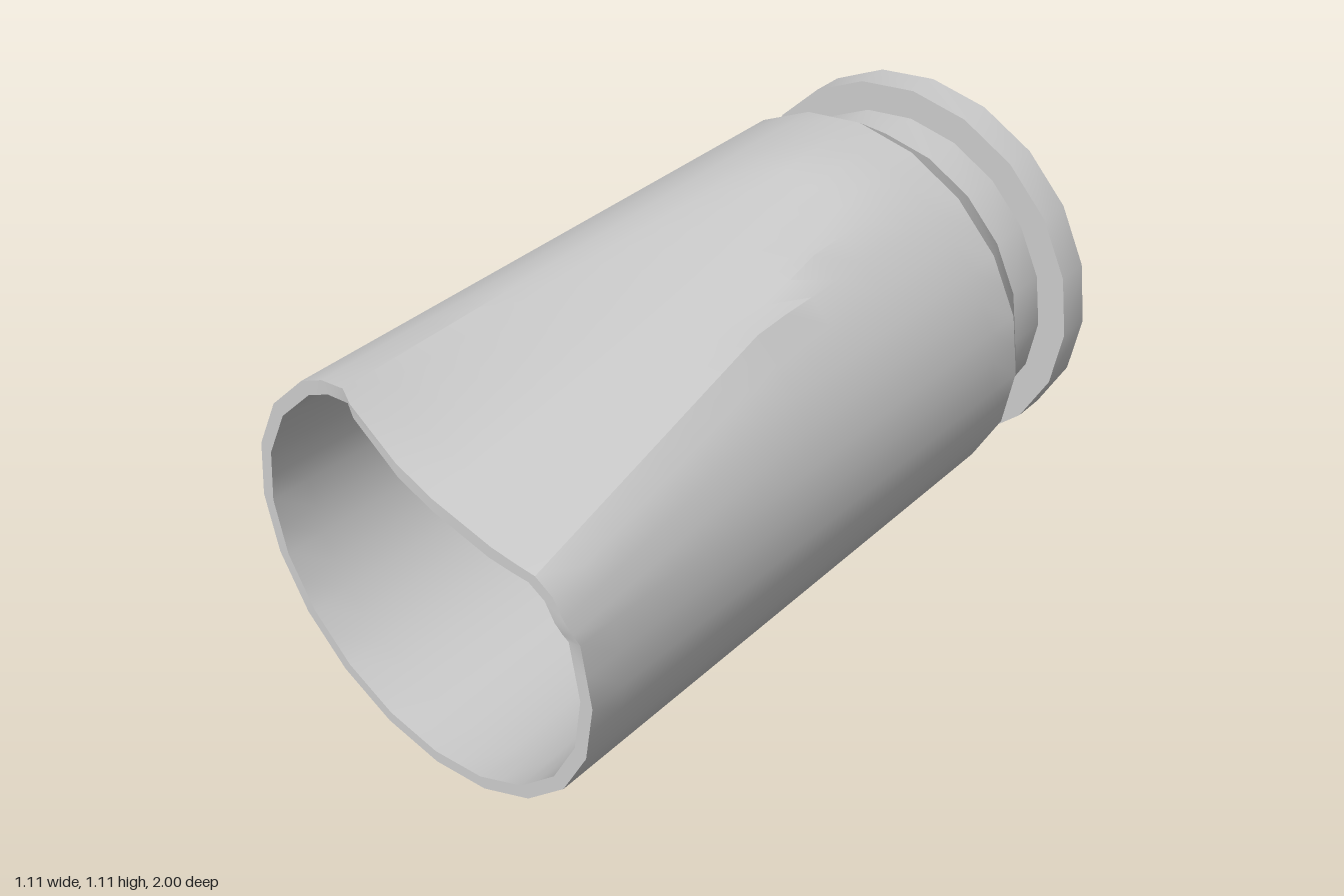
import * as THREE from 'three';
import { toCreasedNormals } from 'three/addons/utils/BufferGeometryUtils.js';

const SIDES = 20, COLS = 40, R = 0.556, CREASE = 0.5;

// Dented stretch of the mouth: column -> [x, height above axis, z where the dent starts]
const dent = {
  '-2': [-0.17, 0.506, -0.42],
  '-1': [-0.14, 0.483, -0.42],
  '0': [0, 0.393, -0.42],
  '1': [0.11, 0.353, -0.45],
  '2': [0.29, 0.318, -0.48],
  '3': [0.365, 0.314, -0.15],
  '4': [0.42, 0.313, 0.15],
  '5': [0.47, 0.283, 0.17],
  '6': [0.5, 0.233, 0.2],
  '7': [0.517, 0.2, 0.2],
};

// Point on a 20-sided ring; odd columns lie midway along each side
function ringPoint(col, r) {
  const a = (col / COLS) * Math.PI * 2;
  const k = col % 2 ? r * Math.cos(Math.PI / SIDES) : r;
  return [k * Math.sin(a), k * Math.cos(a)];
}

// Ring point pushed in by the dent, which deepens evenly towards the mouth
function wallPoint(col, r, z) {
  const [x, y] = ringPoint(col, r);
  const d = dent[col > COLS / 2 ? col - COLS : col];
  if (!d) return [x, y, z];
  const [ox, oy] = ringPoint(col, R);
  const w = Math.max(0, (z - d[2]) / (0.985 - d[2]));
  const dx = d[0] - ox, dy = d[1] - oy;
  const forward = 0.015 * Math.min(1, Math.hypot(dx, dy) * 10);
  return [x + w * dx, y + w * dy, z + w * forward];
}

// Outer wall, mouth lip and inner wall as one continuous surface
function wallGeometry() {
  const rows = [], steps = 16, back = -0.65, floor = -0.72, front = 0.985;
  for (let i = 0; i <= steps; i++) rows.push([R, back + (front - back) * i / steps]);
  for (let i = 0; i <= steps; i++) {
    const t = i / steps;
    rows.push([0.52 - 0.065 * t, front + (floor - front) * t]);
  }
  const pos = [], index = [];
  for (const [r, z] of rows)
    for (let c = 0; c < COLS; c++) pos.push(...wallPoint(c, r, z));
  for (let i = 0; i < rows.length - 1; i++) {
    for (let c = 0; c < COLS; c++) {
      const n = (c + 1) % COLS;
      const a = i * COLS + c, b = i * COLS + n;
      index.push(a, a + COLS, b, b, a + COLS, b + COLS);
    }
  }
  const g = new THREE.BufferGeometry();
  g.setAttribute('position', new THREE.Float32BufferAttribute(pos, 3));
  g.setIndex(index);
  return toCreasedNormals(g, CREASE);
}

export function createModel() {
  const group = new THREE.Group();
  group.name = 'dentedCasing';
  const material = new THREE.MeshStandardMaterial({ color: 0xcccccc });
  const add = (name, geometry) => {
    const mesh = new THREE.Mesh(geometry, material);
    mesh.name = name;
    mesh.position.y = R;
    group.add(mesh);
    return mesh;
  };

  // Long tube with a crushed mouth
  add('casingWall', wallGeometry());

  // Floor inside the tube
  add('innerFloor', new THREE.CircleGeometry(0.455, SIDES)).position.z = -0.72;

  // Base: flat back, bevelled rim, groove and taper up to the tube
  const profile = [
    [0, -1], [0.54, -1], [R, -0.985], [R, -0.89],
    [0.472, -0.89], [0.472, -0.775], [R, -0.65],
  ].map(([r, z]) => new THREE.Vector2(r, z));
  const base = new THREE.LatheGeometry(profile, SIDES).rotateX(Math.PI / 2);
  add('baseRimAndGroove', toCreasedNormals(base, CREASE));

  return group;
}
